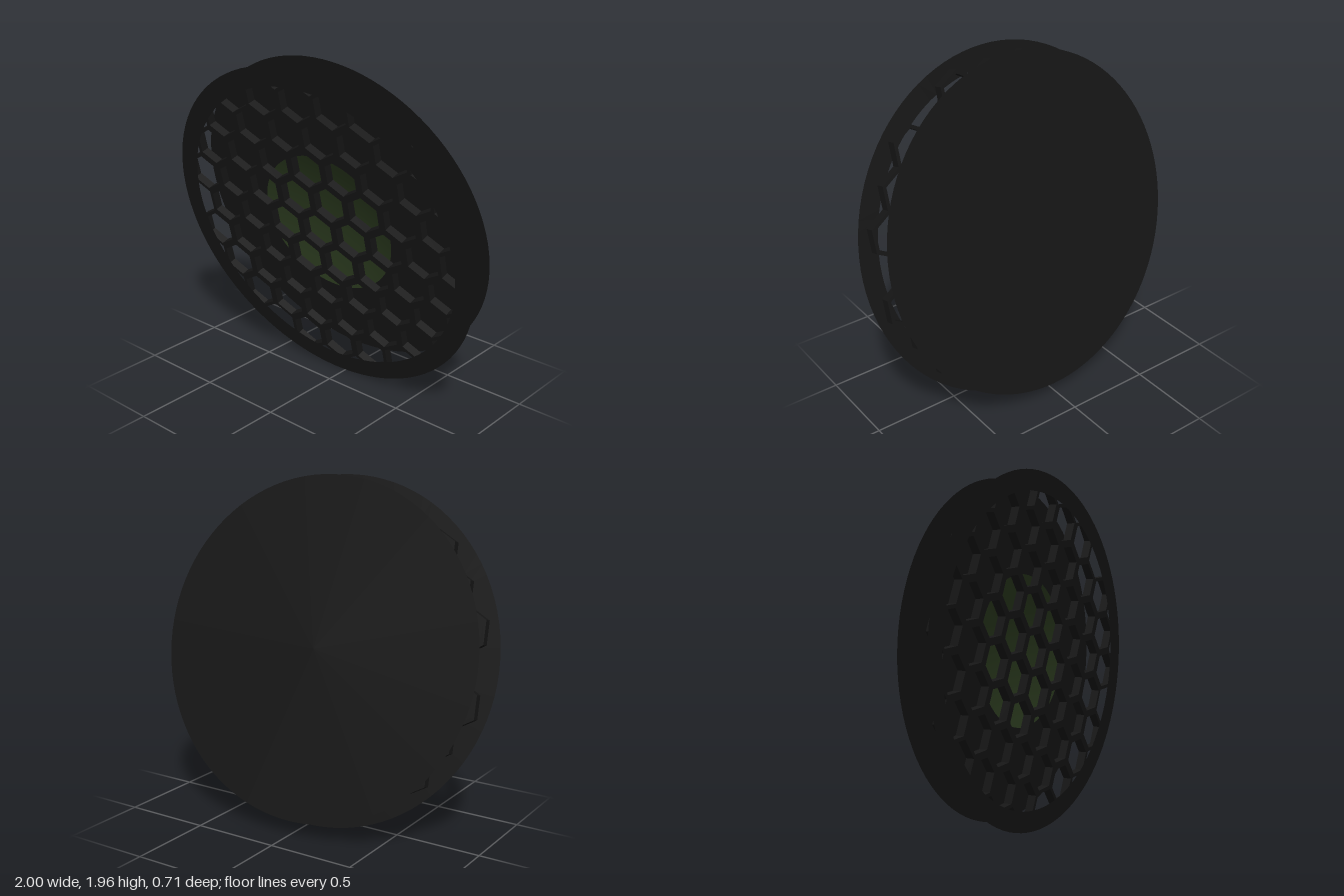
import * as THREE from 'three';

const mat = (color) => new THREE.MeshStandardMaterial({ color, side: THREE.DoubleSide });

// Pointed-top hexagon outline
function hexPoints(radius) {
  return Array.from({ length: 6 }, (_, i) => {
    const a = Math.PI / 6 + (i * Math.PI) / 3;
    return new THREE.Vector2(Math.cos(a) * radius, Math.sin(a) * radius);
  });
}

export function createModel() {
  const root = new THREE.Group();
  root.name = 'tiltedGrille';
  const dark = mat(0x151515);
  const green = mat(0x29381d);

  // Everything shares one tilted axis; local z points out of the front
  const body = new THREE.Group();
  body.name = 'body';
  body.rotation.set(0.2486, 0.065, 0, 'YXZ');
  body.position.set(0, 0.973, 0.1);
  root.add(body);

  const add = (name, geometry, material, z = 0, parent = body) => {
    const mesh = new THREE.Mesh(geometry, material);
    mesh.name = name;
    mesh.position.z = z;
    parent.add(mesh);
    return mesh;
  };

  // Flat front ring and flat back plate
  add('frontRing', new THREE.RingGeometry(0.885, 1.002, 96), dark);
  add('backPlate', new THREE.CircleGeometry(0.964, 96), dark, -0.213);

  // Honeycomb of short hexagonal tubes filling the ring
  const pitch = 0.229, depth = 0.05;
  const outer = pitch / Math.sqrt(3);
  const cell = new THREE.Shape(hexPoints(outer));
  cell.holes.push(new THREE.Path(hexPoints(0.109)));
  const cellGeometry = new THREE.ExtrudeGeometry(cell, { depth, bevelEnabled: false });
  const honeycomb = new THREE.Group();
  honeycomb.name = 'honeycomb';
  body.add(honeycomb);
  for (let row = -4; row <= 4; row++) {
    for (let col = -4; col <= 4; col++) {
      const x = (col + (row % 2 ? 0.5 : 0)) * pitch;
      const y = row * outer * 1.5;
      if (Math.hypot(x, y) > 0.84) continue;
      const tube = add('hexCell', cellGeometry, dark, -depth - 0.002, honeycomb);
      tube.position.x = x;
      tube.position.y = y;
    }
  }

  // Shallow green dish behind the honeycomb, bulging toward the back
  const rim = 0.43, bulge = 0.07;
  const profile = Array.from({ length: 13 }, (_, i) => {
    const r = (rim * i) / 12;
    return new THREE.Vector2(r, -bulge * (1 - (r / rim) ** 2));
  });
  const dish = new THREE.LatheGeometry(profile, 64).rotateX(Math.PI / 2);
  add('centreDish', dish, green, -0.09);

  return root;
}
